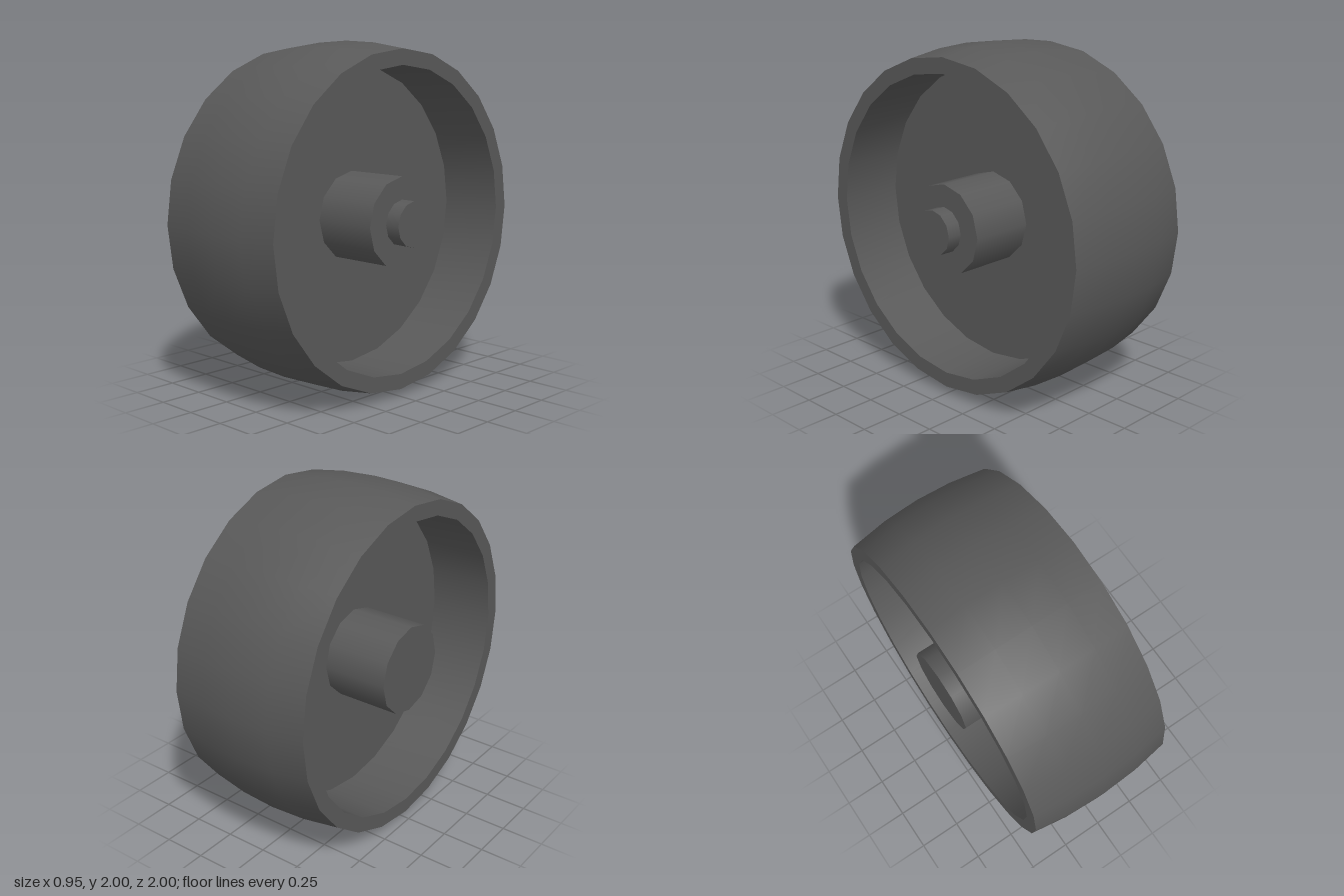
import * as THREE from 'three';
import { toCreasedNormals } from 'three/addons/utils/BufferGeometryUtils.js';

export function createModel() {
  const grey = new THREE.MeshStandardMaterial({ color: 0x595959 });
  grey.name = 'dark grey';

  const wheel = new THREE.Group();
  wheel.name = 'wheel';
  const LEFT = 0.387, RIGHT = -0.476, MID = (LEFT + RIGHT) / 2, HALF = (LEFT - RIGHT) / 2;

  // Every part turns around the axle, which lies along x
  const add = (name, geometry) => {
    geometry.rotateZ(-Math.PI / 2);
    geometry.translate(0, 1, 0);
    const mesh = new THREE.Mesh(geometry, grey);
    mesh.name = name;
    wheel.add(mesh);
  };
  const addDrum = (name, radius, from, to, sides) => {
    const geometry = new THREE.CylinderGeometry(radius, radius, to - from, sides);
    geometry.translate(0, (from + to) / 2, 0);
    add(name, geometry);
  };

  // Rim: crowned tread outside, straight wall inside
  const profile = [];
  for (let i = -2; i <= 2; i++) {
    const t = i / 2;
    profile.push(new THREE.Vector2(1 - 0.043 * t * t, MID + HALF * t));
  }
  profile.push(new THREE.Vector2(0.868, LEFT), new THREE.Vector2(0.868, RIGHT), profile[0].clone());
  add('rim', toCreasedNormals(new THREE.LatheGeometry(profile, 24), 0.6));

  // Web between rim and hub, hub through both sides, axle stub on one side
  addDrum('web', 0.88, MID - 0.044, MID + 0.044, 24);
  addDrum('hub', 0.26, RIGHT, LEFT, 12);
  addDrum('axleStub', 0.13, LEFT - 0.02, 0.476, 12);

  return wheel;
}
